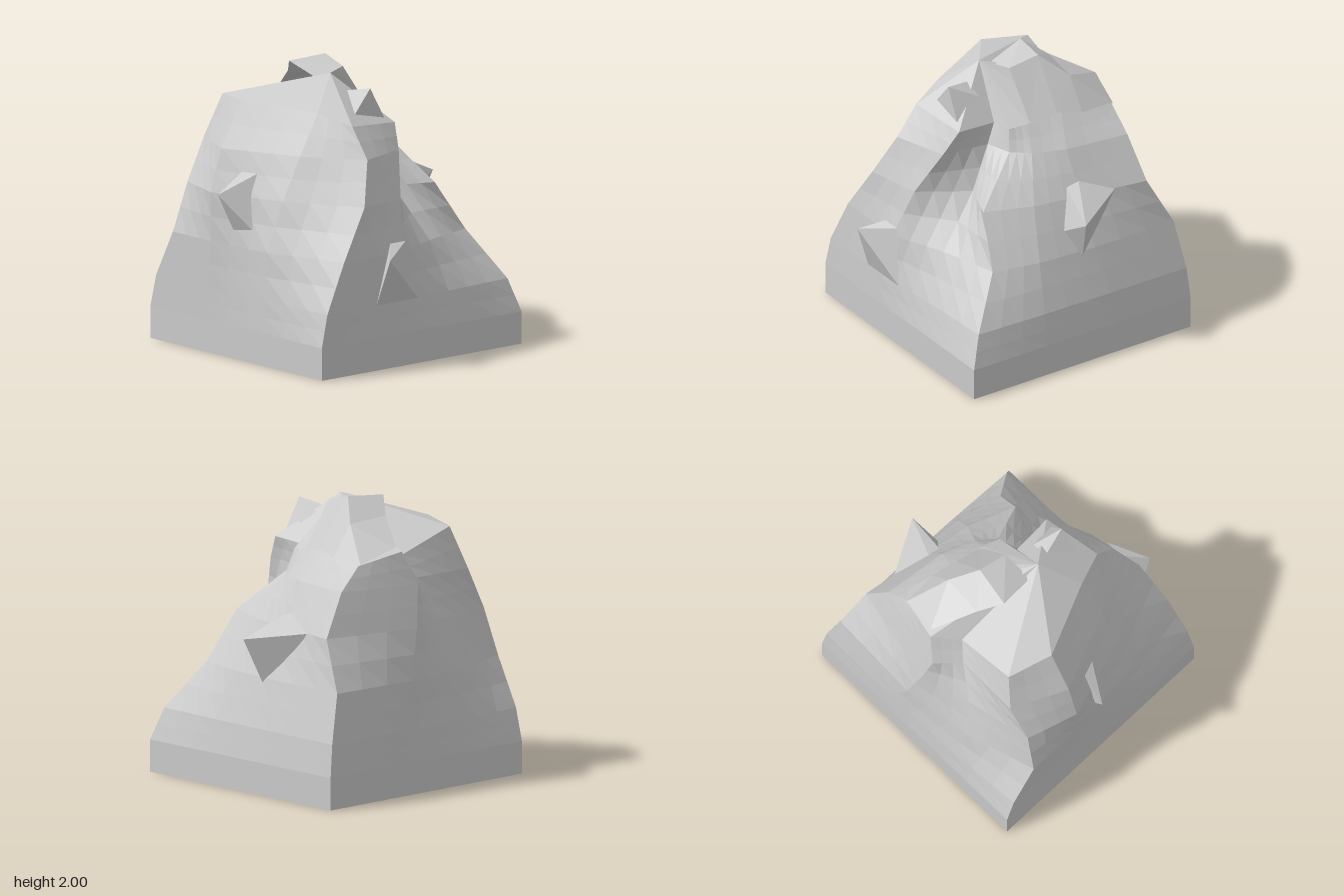
import * as THREE from 'three';

const material = new THREE.MeshStandardMaterial({ color: 0xcccccc, flatShading: true, side: THREE.DoubleSide });
const lerp = (a, b, t) => a.map((v, k) => v + (b[k] - v) * t);

// Skin a list of cross-sections; each row holds the same number of points.
function loft(name, rows, closed) {
  const pos = [];
  const n = rows[0].length;
  for (let r = 0; r + 1 < rows.length; r++) {
    for (let i = 0; i < (closed ? n : n - 1); i++) {
      const j = (i + 1) % n;
      const a = rows[r][i], b = rows[r][j], c = rows[r + 1][j], d = rows[r + 1][i];
      pos.push(...a, ...d, ...c, ...a, ...c, ...b);
    }
  }
  const g = new THREE.BufferGeometry();
  g.setAttribute('position', new THREE.Float32BufferAttribute(pos, 3));
  g.computeVertexNormals();
  const mesh = new THREE.Mesh(g, material);
  mesh.name = name;
  return mesh;
}

// Outcrop: a loop on the surface drawn out to a tip.
const outcrop = (name, tip, base) => loft(name, [base, base.map(() => tip)], true);

// Slope rails, three per side, ordered front, right side (-x), back, left side (+x).
// Each holds x, z at three shared heights, then the x, y, z of its crown point.
const heights = [0.8, 1.15, 1.45];
const rails = [
  [0.83, 0.64, 0.78, 0.41, 0.66, 0.28, 0.5, 1.66, 0.28],
  [0.23, 0.83, 0.26, 0.71, 0.27, 0.56, 0.25, 1.73, 0.38],
  [-0.3, 0.88, -0.3, 0.89, -0.29, 0.8, -0.28, 1.77, 0.62],
  [-0.71, 0.88, -0.67, 0.78, -0.68, 0.62, -0.6, 1.75, 0.52],
  [-0.86, 0.38, -0.77, 0.3, -0.67, 0.14, -0.6, 1.61, 0.06],
  [-0.93, -0.15, -0.88, -0.06, -0.83, 0, -0.76, 1.68, -0.09],
  [-0.9, -0.84, -0.72, -0.77, -0.68, -0.59, -0.67, 1.61, -0.42],
  [-0.24, -0.83, -0.22, -0.69, -0.21, -0.53, -0.28, 1.66, -0.36],
  [0.2, -0.8, 0.13, -0.63, 0.02, -0.44, -0.02, 1.62, -0.33],
  [0.54, -0.72, 0.47, -0.5, 0.14, -0.34, 0.11, 1.6, -0.29],
  [0.66, -0.29, 0.36, -0.21, 0.2, -0.16, 0.14, 1.6, -0.15],
  [0.82, 0.1, 0.7, 0.01, 0.54, -0.11, 0.44, 1.62, -0.16],
];
const corners = [[0.86, 0.87], [-0.96, 0.87], [-0.96, -0.96], [0.86, -0.96]];
const peak = [0.08, 1.95, 0.12];

// Full rail: underside centre, square foot, eased shoulder, slope, crown, summit.
function railPoints(rail, i) {
  const side = Math.floor(i / 3);
  const [x, z] = lerp(corners[side], corners[(side + 1) % 4], (i % 3) / 3);
  const slope = heights.map((y, k) => [rail[2 * k], y, rail[2 * k + 1]]);
  const shoulder = lerp([x, 0.46, z], [slope[0][0], 0.46, slope[0][2]], 0.25);
  const crown = rail.slice(6);
  return [[-0.05, 0, -0.045], [x, 0, z], [x, 0.23, z], shoulder, ...slope, crown, lerp(crown, peak, 0.6), peak];
}

// Insert evenly spaced points along each span of a list of points.
function subdivide(points, count, closed) {
  return points.flatMap((p, i) => {
    if (!closed && i === points.length - 1) return [p];
    const next = points[(i + 1) % points.length];
    return Array.from({ length: count }, (_, s) => lerp(p, next, s / count));
  });
}

function createModel() {
  const group = new THREE.Group();
  group.name = 'rock';

  // Rock body: rails joined into rows of facets.
  const full = rails.map((rail, i) => subdivide(railPoints(rail, i), 2, false));
  const rows = full[0].map((_, r) => subdivide(full.map((rail) => rail[r]), 3, true));
  group.add(loft('rockBody', rows, true));

  // Overhanging slab on the summit, falling away to the back.
  group.add(loft('summitSlab', [
    [[-0.73, 1.71, -0.12], [-0.45, 1.87, 0.05], [-0.3, 1.98, 0.17], [-0.02, 1.89, 0.14]],
    [[-0.68, 1.62, -0.41], [-0.42, 1.85, -0.26], [-0.25, 2, -0.12], [-0.03, 1.95, -0.09]],
    [[-0.6, 1.56, -0.48], [-0.42, 1.63, -0.42], [-0.24, 1.66, -0.37], [-0.04, 1.61, -0.34]],
  ], false));

  // Jagged outcrops
  group.add(outcrop('frontOutcrop', [-0.13, 1.17, 0.97],
    [[-0.1, 1.33, 0.74], [0.03, 1.33, 0.69], [0.06, 0.93, 0.82], [-0.09, 0.91, 0.86]]));
  group.add(outcrop('leftOutcrop', [0.96, 0.79, 0.33],
    [[0.81, 0.87, 0.2], [0.81, 0.87, 0.06], [0.85, 0.46, -0.02], [0.85, 0.46, 0.36]]));
  group.add(outcrop('backOutcrop', [-0.08, 1.08, -0.96],
    [[-0.5, 1.15, -0.72], [-0.24, 1.25, -0.63], [-0.14, 1.22, -0.63], [-0.04, 0.95, -0.74], [-0.14, 0.76, -0.83]]));
  group.add(outcrop('summitOutcrop', [0.4, 1.88, 0.03],
    [[0.2, 1.84, 0.08], [0.4, 1.68, 0.2], [0.41, 1.64, -0.1], [0.2, 1.78, -0.05]]));
  return group;
}

export { createModel };
